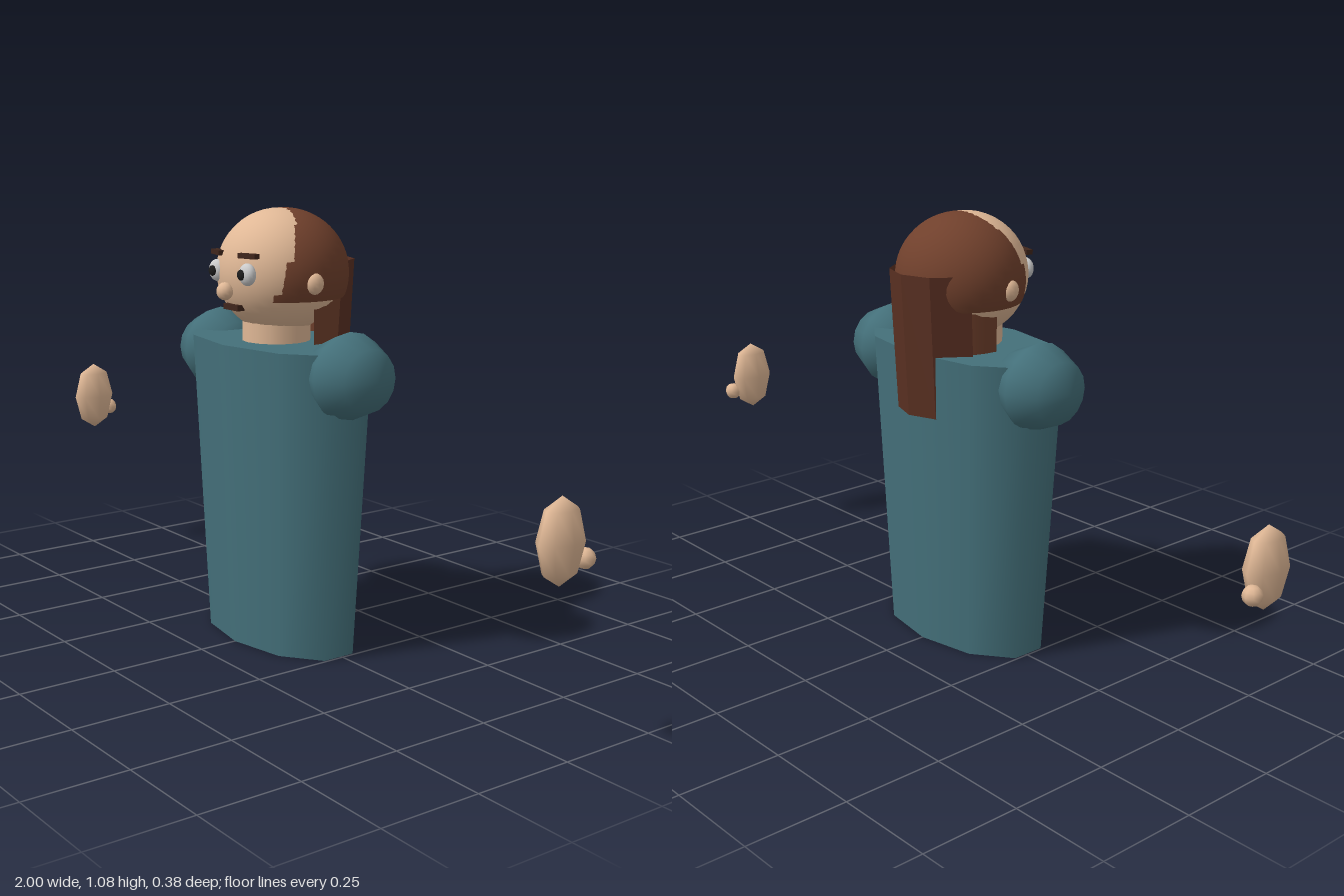
import * as THREE from 'three';

const paint = (color, side = THREE.FrontSide) => new THREE.MeshStandardMaterial({ color, side });

export function createModel() {
  const model = new THREE.Group();
  const cloth = paint(0x44707a);
  const skin = paint(0xe0b896);
  const hair = paint(0x70402c, THREE.DoubleSide);
  const darkHair = paint(0x5a3022, THREE.DoubleSide);
  const brown = paint(0x40261c);
  const white = paint(0xe8e8e8);
  const black = paint(0x1c1c1c);

  const add = (name, geometry, material, x, y, z, parent = model) => {
    const mesh = new THREE.Mesh(geometry, material);
    mesh.name = name;
    mesh.position.set(x, y, z);
    parent.add(mesh);
    return mesh;
  };
  const ball = (rx, ry, rz, w = 12, h = 8) => new THREE.SphereGeometry(1, w, h).scale(rx, ry, rz);

  // Ten-sided tapered torso, flattened front to back
  const torso = new THREE.CylinderGeometry(0.31, 0.257, 0.76, 10);
  torso.scale(1, 1, 0.55);
  add('torso', torso, cloth, 0, 0.38, 0.008);

  // Head
  const head = new THREE.Group();
  head.name = 'head';
  model.add(head);
  add('neck', new THREE.CylinderGeometry(0.085, 0.085, 0.12, 16), skin, 0, 0.76, 0.02, head);
  add('face', ball(0.155, 0.153, 0.155, 32, 24), skin, 0, 0.93, 0.01, head);
  add('nose', ball(0.022, 0.022, 0.02), skin, 0, 0.89, 0.172, head);
  add('mouth', new THREE.BoxGeometry(0.06, 0.014, 0.02), brown, 0, 0.85, 0.146, head);

  // Hair cap, cut level at ear height, with the forehead showing through
  const cap = new THREE.SphereGeometry(1, 32, 20, 0, Math.PI * 2, 0, 1.94);
  cap.scale(0.163, 0.158, 0.16);
  add('hairCap', cap, hair, 0, 0.925, -0.003, head);

  // Hair over the back of the neck
  const nape = new THREE.CylinderGeometry(1, 1, 0.17, 16, 1, false, Math.PI / 2, Math.PI);
  nape.scale(0.128, 1, 0.15);
  add('napeHair', nape, hair, 0, 0.815, 0, head);

  // Long folded sheet of hair hanging down the back
  const fold = [[-0.13, -0.085], [-0.075, -0.165], [0, -0.19], [0.075, -0.165], [0.13, -0.085]];
  const sheet = new THREE.PlaneGeometry(1, 1, fold.length - 1, 1);
  const p = sheet.attributes.position;
  for (let i = 0; i < p.count; i++) {
    const [x, z] = fold[i % fold.length];
    const top = p.getY(i) > 0;
    p.setXYZ(i, x * (top ? 1 : 0.95), top ? 0.955 : 0.605, z + (top ? 0 : 0.02));
  }
  // Face the sheet backwards
  const idx = sheet.index.array;
  for (let i = 0; i < idx.length; i += 3) [idx[i], idx[i + 1]] = [idx[i + 1], idx[i]];
  const flat = sheet.toNonIndexed();
  flat.computeVertexNormals();
  add('backHair', flat, darkHair, 0, 0, 0, head);

  // Mirrored parts
  for (const [side, s] of [['left', 1], ['right', -1]]) {
    add(side + 'Ear', ball(0.02, 0.027, 0.024), skin, s * 0.153, 0.912, 0.018, head);
    add(side + 'Eye', ball(0.026, 0.027, 0.018, 16, 12), white, s * 0.064, 0.934, 0.15, head);
    add(side + 'Pupil', ball(0.013, 0.013, 0.007), black, s * 0.061, 0.934, 0.167, head);
    const brow = add(side + 'Eyebrow', new THREE.BoxGeometry(0.054, 0.012, 0.018), brown, s * 0.064, 0.978, 0.147, head);
    brow.rotation.y = s * 0.25;

    const shoulder = ball(0.107, 0.107, 0.109, 16, 4).rotateZ(-s * Math.PI / 2);
    add(side + 'Shoulder', shoulder, cloth, s * 0.272, 0.703, 0.004);

    // Floating hand with a small thumb
    const hand = new THREE.Group();
    hand.name = side + 'Hand';
    hand.position.set(s * 0.961, 0.466, 0.004);
    model.add(hand);
    add(side + 'Palm', ball(0.039, 0.096, 0.063, 8, 4), skin, 0, 0, 0, hand);
    add(side + 'Thumb', ball(0.023, 0.023, 0.023, 8, 6), skin, s * 0.014, -0.042, -0.058, hand);
  }
  return model;
}
